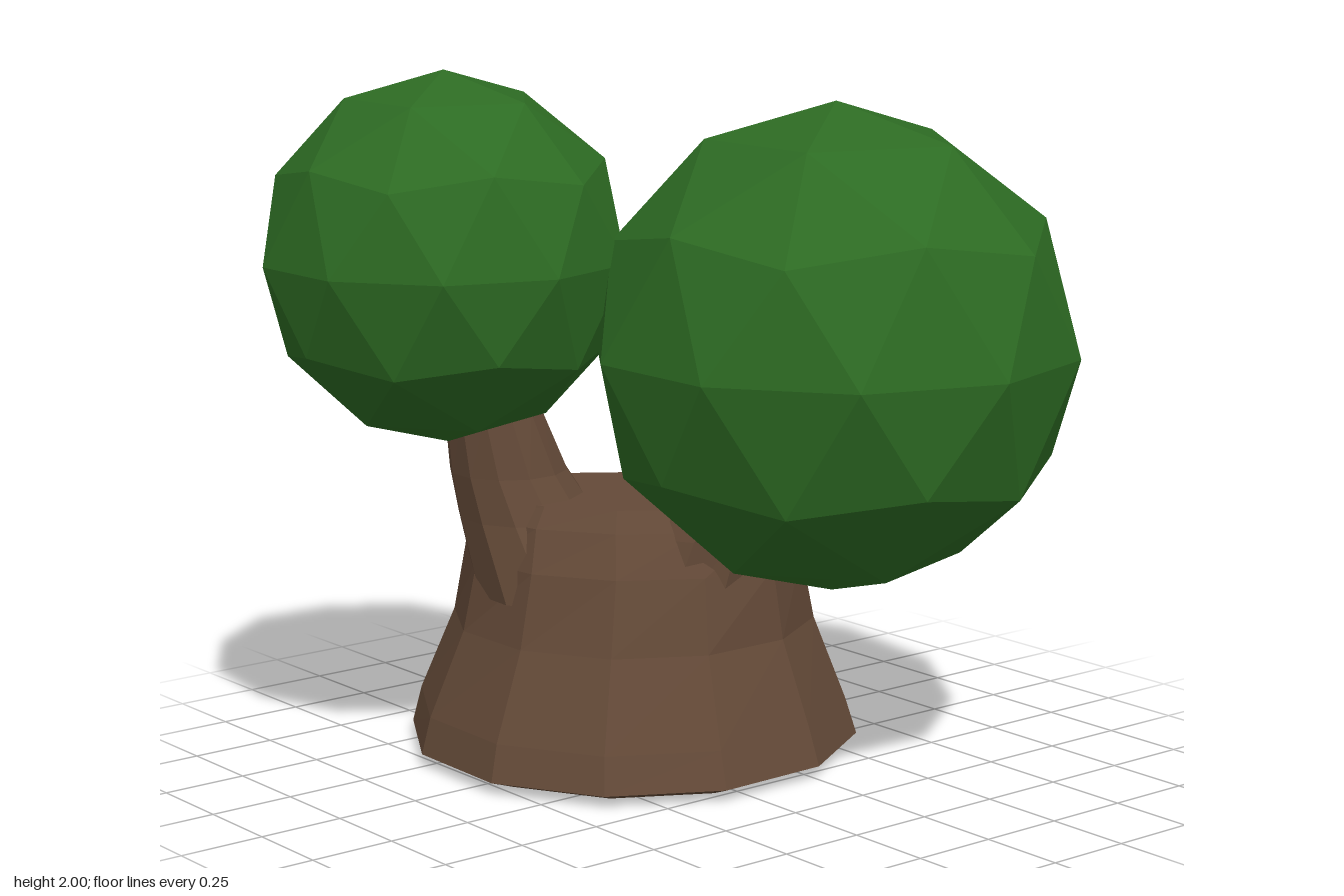
import * as THREE from 'three';

const SIDES = 12;
const bark = new THREE.MeshStandardMaterial({ color: 0x644a38, flatShading: true });
const leaf = new THREE.MeshStandardMaterial({ color: 0x2d6b23, flatShading: true });

// Closed loft through level rings [y, centreX, centreZ, a, b];
// a is the radius along the +x+z diagonal, b along the +x-z diagonal.
function loft(name, rings) {
  const pos = [], idx = [], h = Math.SQRT1_2;
  for (const [y, cx, cz, a, b] of rings) {
    for (let k = 0; k < SIDES; k++) {
      const t = (k / SIDES) * Math.PI * 2;
      const u = a * Math.cos(t), v = b * Math.sin(t);
      pos.push(cx + (u + v) * h, y, cz + (u - v) * h);
    }
  }
  const last = (rings.length - 1) * SIDES;
  const bottom = pos.length / 3, top = bottom + 1;
  for (const r of [rings[0], rings[rings.length - 1]]) pos.push(r[1], r[0], r[2]);
  for (let k = 0; k < SIDES; k++) {
    const n = (k + 1) % SIDES;
    for (let o = 0; o < last; o += SIDES) {
      idx.push(o + k, o + n, o + SIDES + n, o + k, o + SIDES + n, o + SIDES + k);
    }
    idx.push(bottom, n, k, top, last + k, last + n);
  }
  const geo = new THREE.BufferGeometry();
  geo.setAttribute('position', new THREE.Float32BufferAttribute(pos, 3));
  geo.setIndex(idx);
  geo.computeVertexNormals();
  const mesh = new THREE.Mesh(geo, bark);
  mesh.name = name;
  return mesh;
}

// Faceted ball with one vertex straight up
function crown(name, radius, x, y, z) {
  const geo = new THREE.IcosahedronGeometry(radius, 1);
  geo.rotateZ(-Math.atan(2 / (1 + Math.sqrt(5))));
  const mesh = new THREE.Mesh(geo, leaf);
  mesh.name = name;
  mesh.position.set(x, y, z);
  return mesh;
}

export function createModel() {
  const tree = new THREE.Group();
  tree.name = 'tree';

  // Flared trunk, narrowing across one diagonal towards the fork
  tree.add(loft('trunk', [
    [0.0, 0.1, -0.34, 0.57, 0.59],
    [0.035, 0.1, -0.345, 0.66, 0.69],
    [0.14, 0.1, -0.35, 0.63, 0.66],
    [0.39, 0.085, -0.325, 0.53, 0.53],
    [0.6, 0.04, -0.27, 0.49, 0.4],
    [0.72, 0.01, -0.25, 0.46, 0.31],
    [0.78, 0.0, -0.24, 0.42, 0.26],
  ]));

  // Thin branch rising to the small crown
  tree.add(loft('backBranch', [
    [0.5, -0.15, -0.36, 0.25, 0.28],
    [0.72, -0.22, -0.43, 0.2, 0.22],
    [0.85, -0.27, -0.45, 0.17, 0.18],
    [1.03, -0.32, -0.455, 0.14, 0.14],
    [1.15, -0.36, -0.46, 0.12, 0.12],
  ]));

  // Thick branch leaning into the large crown
  tree.add(loft('frontBranch', [
    [0.5, 0.1, -0.13, 0.28, 0.3],
    [0.7, 0.14, -0.07, 0.24, 0.27],
    [0.85, 0.2, 0.04, 0.2, 0.22],
    [1.05, 0.28, 0.2, 0.15, 0.15],
  ]));

  tree.add(crown('largeCrown', 0.69, 0.305, 1.235, 0.3));
  tree.add(crown('smallCrown', 0.525, -0.465, 1.475, -0.47));
  return tree;
}
